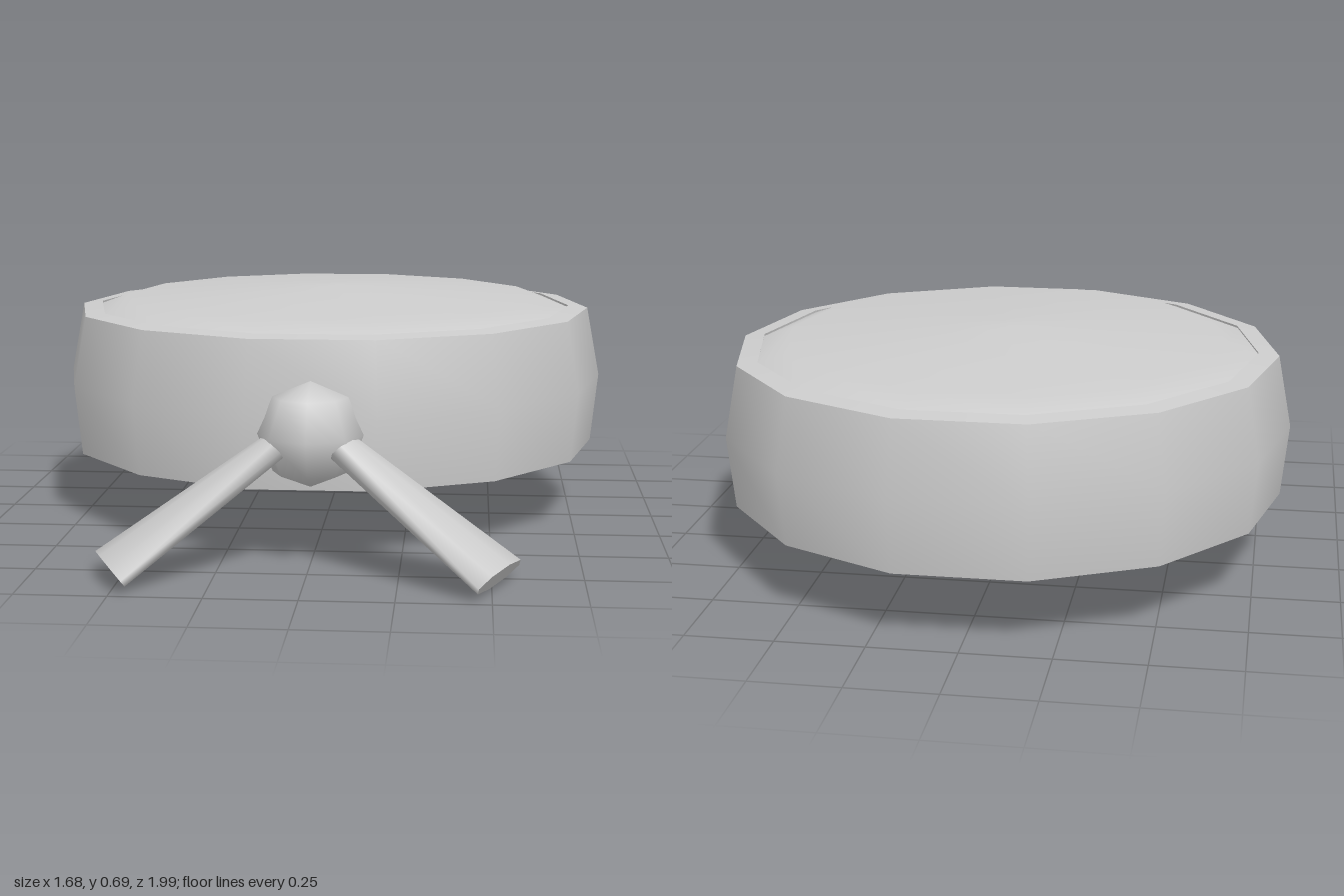
import * as THREE from 'three';

const CENTRE_Z = -0.18;

// Revolved 14-sided surface around the band's axis, with a corner on the x axis
function ring(name, points, material) {
  const profile = points.map(([r, y]) => new THREE.Vector2(r, y));
  const mesh = new THREE.Mesh(new THREE.LatheGeometry(profile, 14, Math.PI / 2), material);
  mesh.name = name;
  mesh.position.z = CENTRE_Z;
  return mesh;
}

// Flattened tail: elliptical sections that widen from the knot to the tip
function tailGeometry(side) {
  const n = 8;
  const sections = [
    { c: [0.1, 0.345, 0.695], w: [-0.03, 0, 0.068], t: [0.02, 0.026, 0.008] },
    { c: [0.52, 0.042, 0.86], w: [-0.055, 0.003, 0.135], t: [0.026, 0.036, 0.008] },
  ];
  const pos = [], index = [];
  const addLoop = ({ c, w, t }) => {
    for (let i = 0; i < n; i++) {
      const a = (i / n) * Math.PI * 2, u = Math.cos(a), v = Math.sin(a);
      const p = c.map((q, k) => q + w[k] * u + t[k] * v);
      pos.push(p[0] * side, p[1], p[2]);
    }
  };
  const tri = (a, b, c) => (side > 0 ? index.push(a, b, c) : index.push(a, c, b));
  sections.forEach(addLoop);
  for (let i = 0; i < n; i++) {
    const j = (i + 1) % n;
    tri(i, j, n + i);
    tri(j, n + j, n + i);
  }
  // End caps on their own vertices keep the rims sharp
  sections.forEach(addLoop);
  for (let i = 1; i < n - 1; i++) {
    tri(2 * n, 2 * n + i + 1, 2 * n + i);
    tri(3 * n, 3 * n + i, 3 * n + i + 1);
  }
  const geo = new THREE.BufferGeometry();
  geo.setAttribute('position', new THREE.Float32BufferAttribute(pos, 3));
  geo.setIndex(index);
  geo.computeVertexNormals();
  return geo;
}

export function createModel() {
  const group = new THREE.Group();
  group.name = 'tiedCap';
  const cloth = new THREE.MeshStandardMaterial({ color: 0xcccccc, side: THREE.DoubleSide });
  cloth.name = 'lightGreyCloth';

  // Thick band: outer wall, top rim, then underside and inner wall
  group.add(
    ring('bandOuterWall', [[0.818, 0.21], [0.84, 0.42], [0.8, 0.63]], cloth),
    ring('bandTopRim', [[0.8, 0.63], [0.74, 0.637]], cloth),
    ring('bandInnerWall', [[0.7, 0.637], [0.715, 0.42], [0.7, 0.21], [0.818, 0.21]], cloth),
  );

  // Gently domed crown
  group.add(ring('crown', [[0.742, 0.63], [0.65, 0.664], [0.1, 0.698], [0, 0.7]], cloth));

  // Knot at the front
  const knot = new THREE.Mesh(new THREE.SphereGeometry(0.148, 8, 4), cloth);
  knot.name = 'knot';
  knot.position.set(0, 0.372, 0.632);
  group.add(knot);

  // Two tails hanging from the knot
  for (const side of [1, -1]) {
    const tail = new THREE.Mesh(tailGeometry(side), cloth);
    tail.name = side > 0 ? 'leftTail' : 'rightTail';
    group.add(tail);
  }
  return group;
}
